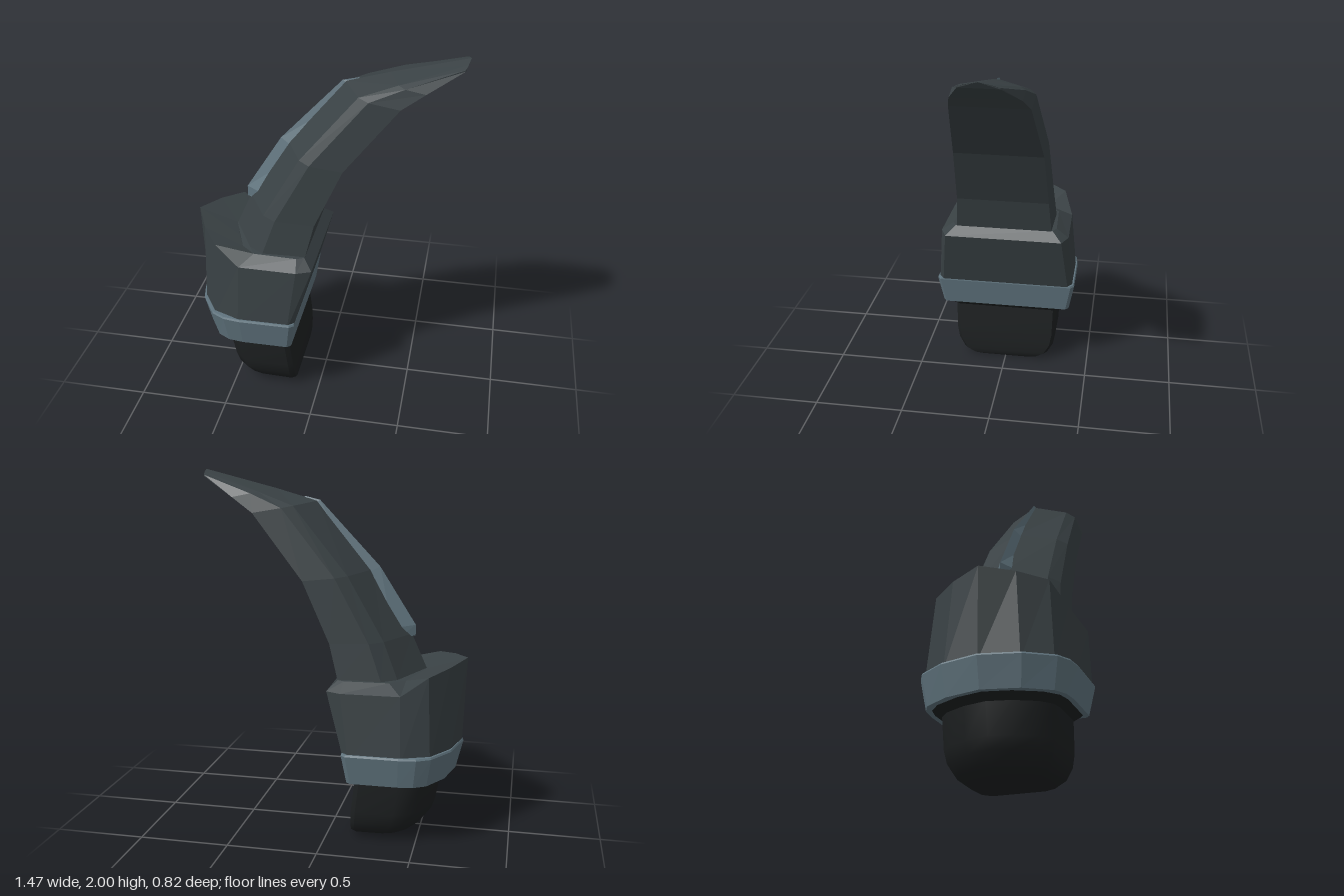
import * as THREE from 'three';
import { toCreasedNormals } from 'three/addons/utils/BufferGeometryUtils.js';

// Joins closed rings of points (listed bottom to top, counterclockwise seen from above) and caps both ends
function loft(rings) {
  const n = rings[0].length, pos = [];
  const tri = (a, b, c) => pos.push(...a, ...b, ...c);
  for (let i = 0; i < rings.length - 1; i++) {
    for (let j = 0; j < n; j++) {
      const k = (j + 1) % n, lo = rings[i], hi = rings[i + 1];
      tri(lo[j], lo[k], hi[k]);
      tri(lo[j], hi[k], hi[j]);
    }
  }
  const first = rings[0], last = rings[rings.length - 1];
  for (let j = 1; j < n - 1; j++) {
    tri(first[0], first[j + 1], first[j]);
    tri(last[0], last[j], last[j + 1]);
  }
  const geo = new THREE.BufferGeometry();
  geo.setAttribute('position', new THREE.Float32BufferAttribute(pos, 3));
  geo.computeVertexNormals();
  return geo;
}

// Half ring from the back point (z = 0) round to the front corner, mirrored across z
const mirror = half => [...half, ...half.slice(1).reverse().map(([x, y, z]) => [x, y, -z])];

// D-shaped ring: pointed at the back (xb, yb), flat at the front (xf, yf), half width w
const dRing = (profile, [xb, yb, xf, yf, w]) =>
  mirror(profile.map(([t, s]) => [xb + (xf - xb) * t, yb + (yf - yb) * t, w * s]));

function part(name, geometry, color, smooth = false) {
  const geo = smooth ? toCreasedNormals(geometry, 0.6) : geometry;
  const mesh = new THREE.Mesh(geo, new THREE.MeshStandardMaterial({ color, flatShading: !smooth }));
  mesh.name = name;
  return mesh;
}

export function createModel() {
  const group = new THREE.Group();
  group.name = 'claw';
  const dark = 0x394144, black = 0x1d2021, steel = 0x60747e;

  // Curved blade, flat inside and ridged along the back
  const bladeProfile = [[0, 0], [0.3, 0.82], [0.48, 1], [1, 0.98]];
  const blade = [
    [-0.56, 0.8, -0.1, 0.8, 0.28],
    [-0.52, 0.92, -0.07, 0.9, 0.28],
    [-0.43, 1.12, -0.02, 1.1, 0.265],
    [-0.21, 1.47, 0.13, 1.43, 0.25],
    [0.1, 1.835, 0.41, 1.78, 0.21],
    [0.33, 1.9, 0.53, 1.86, 0.18],
  ].map(s => dRing(bladeProfile, s));
  blade.push(mirror([[0.73, 2, 0], [0.72, 1.985, 0.06], [0.71, 1.972, 0.1], [0.71, 1.965, 0.1]]));
  group.add(part('blade', loft(blade), dark));

  // Raised strip along the back of the blade
  const strip = [
    [-0.45, 1.11, -0.37, 1.11, 0.05],
    [-0.45, 1.17, -0.33, 1.16, 0.07],
    [-0.25, 1.485, -0.13, 1.43, 0.06],
    [0.085, 1.84, 0.16, 1.78, 0.03],
    [0.17, 1.86, 0.18, 1.84, 0.005],
  ].map(s => dRing([[0, 0], [1, 1]], s));
  group.add(part('backStrip', loft(strip), steel));

  // Collar with a raised back and a bevelled rim
  const collar = [
    [[-0.72, 0.5, 0], [-0.67, 0.5, 0.2], [-0.58, 0.5, 0.34], [-0.43, 0.5, 0.4], [-0.15, 0.5, 0.4], [-0.12, 0.5, 0.375]],
    [[-0.74, 1, 0], [-0.66, 0.98, 0.17], [-0.56, 0.955, 0.31], [-0.42, 0.86, 0.365], [-0.1, 0.86, 0.37], [-0.02, 0.86, 0.335]],
    [[-0.52, 0.93, 0], [-0.47, 0.92, 0.13], [-0.43, 0.91, 0.22], [-0.35, 0.91, 0.29], [-0.11, 0.91, 0.3], [-0.07, 0.91, 0.28]],
  ].map(mirror);
  group.add(part('collar', loft(collar), dark));

  // Flared band around the foot of the collar
  const bandProfile = [[0, 0], [0.08, 0.51], [0.23, 0.87], [0.35, 0.97], [0.5, 1], [0.96, 1], [1, 0.95]];
  const band = [
    [-0.69, 0.365, -0.135, 0.365, 0.38],
    [-0.73, 0.525, -0.11, 0.525, 0.41],
    [-0.725, 0.535, -0.112, 0.535, 0.405],
  ].map(s => dRing(bandProfile, s));
  group.add(part('band', loft(band), steel));

  // Rounded peg below the band, with a bevel under the band
  const pegProfile = [[0, 0], [0.06, 0.4], [0.19, 0.78], [0.32, 0.95], [0.46, 1], [0.94, 1], [1, 0.93]];
  const peg = [
    [-0.4, 0, -0.15, 0, 0.15],
    [-0.45, 0.015, -0.142, 0.01, 0.2],
    [-0.51, 0.05, -0.138, 0.04, 0.255],
    [-0.56, 0.11, -0.14, 0.1, 0.29],
    [-0.58, 0.17, -0.145, 0.17, 0.303],
    [-0.61, 0.335, -0.165, 0.335, 0.307],
    [-0.67, 0.37, -0.14, 0.37, 0.36],
  ].map(s => dRing(pegProfile, s));
  group.add(part('peg', loft(peg), black, true));

  return group;
}
